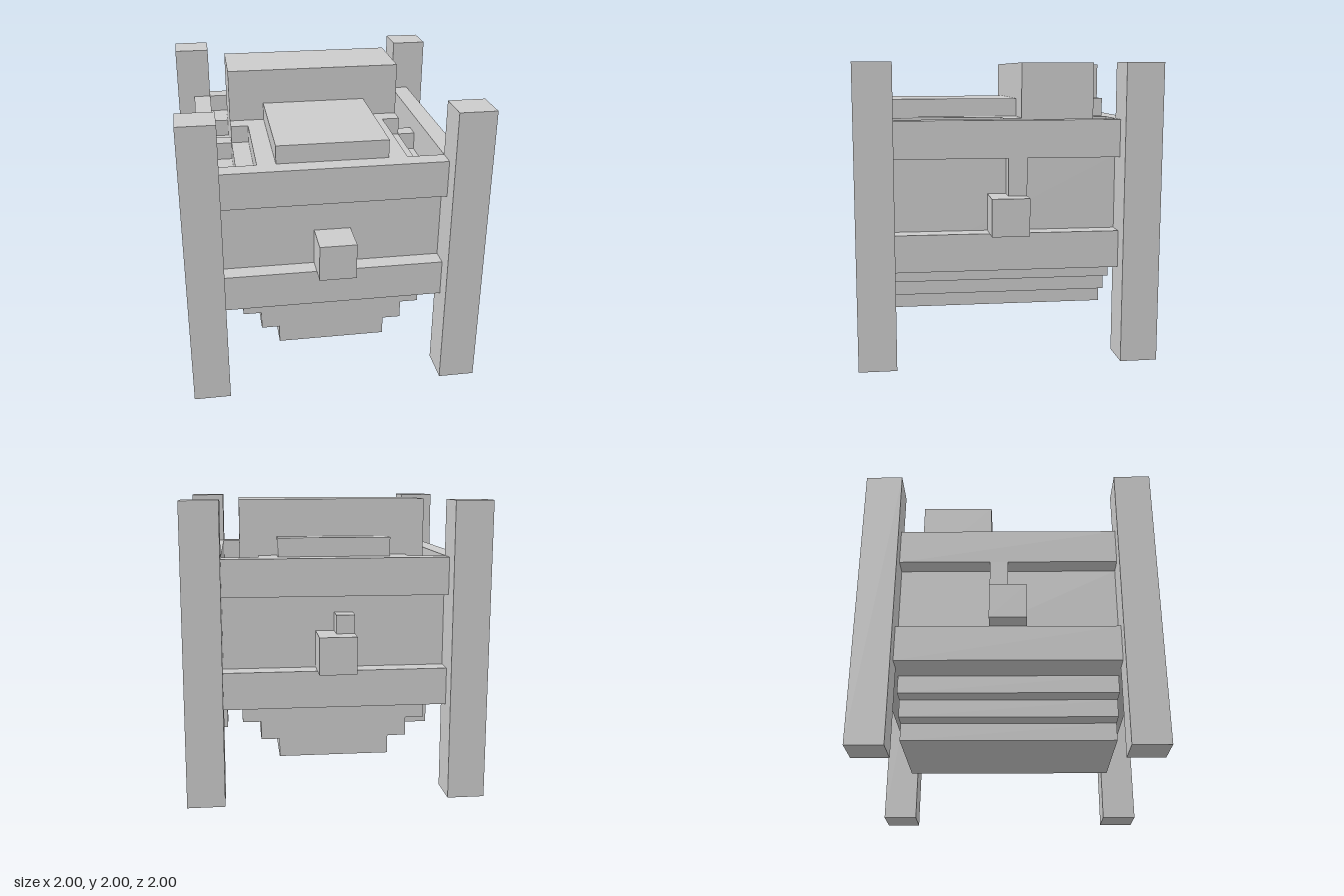
import * as THREE from 'three';

const material = new THREE.MeshStandardMaterial({ color: 0xcccccc, flatShading: true });

export function createModel() {
  const model = new THREE.Group();
  model.name = 'framedBarrel';

  // Box given by its low and high limits on each axis
  function block(name, [x0, x1], [y0, y1], [z0, z1]) {
    const mesh = new THREE.Mesh(new THREE.BoxGeometry(x1 - x0, y1 - y0, z1 - z0), material);
    mesh.position.set((x0 + x1) / 2, (y0 + y1) / 2, (z0 + z1) / 2);
    mesh.name = name;
    model.add(mesh);
  }
  // Range mirrored to the given side of an axis
  const side = (s, a, b) => (s > 0 ? [a, b] : [-b, -a]);

  // Stepped barrel body: [half width, bottom, top] of each layer, extruded along z
  const layers = [
    [0.375, 0.25, 0.375], [0.5, 0.375, 0.5], [0.625, 0.5, 0.625], [0.75, 0.625, 1.375],
    [0.625, 1.375, 1.5], [0.5, 1.5, 1.625], [0.375, 1.625, 1.75],
  ];
  const half = layers.flatMap(([w, y0, y1]) => [[w, y0], [w, y1]]);
  const outline = [...half, ...half.map(([w, y]) => [-w, y]).reverse()];
  const shape = new THREE.Shape(outline.map(([x, y]) => new THREE.Vector2(x, y)));
  const bodyGeometry = new THREE.ExtrudeGeometry(shape, { depth: 1.5, bevelEnabled: false });
  bodyGeometry.translate(0, 0, -0.75);
  const body = new THREE.Mesh(bodyGeometry, material);
  body.name = 'barrelBody';
  model.add(body);

  // Raised box on top, towards the back
  block('topBox', [-0.625, 0.625], [1.5, 2], [-0.625, -0.125]);

  for (const s of [1, -1]) {
    // Corner posts
    for (const t of [1, -1]) block('cornerPost', side(s, 0.75, 1), [0, 2], side(t, 0.75, 1));

    // Lower and upper rails
    for (const y of [0.625, 1.375]) {
      block('sideRail', side(s, 0.75, 0.875), [y, y + 0.25], [-0.75, 0.75]);
      block('endRail', [-0.75, 0.75], [y, y + 0.25], side(s, 0.75, 0.875));
    }

    // Knobs in the middle of every face
    block('sideKnob', side(s, 0.75, 1), [0.875, 1.125], [-0.125, 0.125]);
    block('endKnob', [-0.125, 0.125], [0.875, 1.125], side(s, 0.75, 1));

    // Strap stepping down from the top box to the side knob
    block('strapUpper', side(s, 0.5, 0.625), [1.5, 1.625], [-0.125, 0]);
    block('strapMiddle', side(s, 0.625, 0.75), [1.375, 1.5], [-0.125, 0]);
    block('strapLower', side(s, 0.75, 0.875), [1.125, 1.375], [-0.125, 0]);
  }

  // Small pieces at the back
  block('backStub', [-0.125, 0], [1.125, 1.25], [-0.875, -0.75]);
  block('backFiller', [-0.75, -0.625], [1.375, 1.5], [-0.75, -0.5]);

  return model;
}
